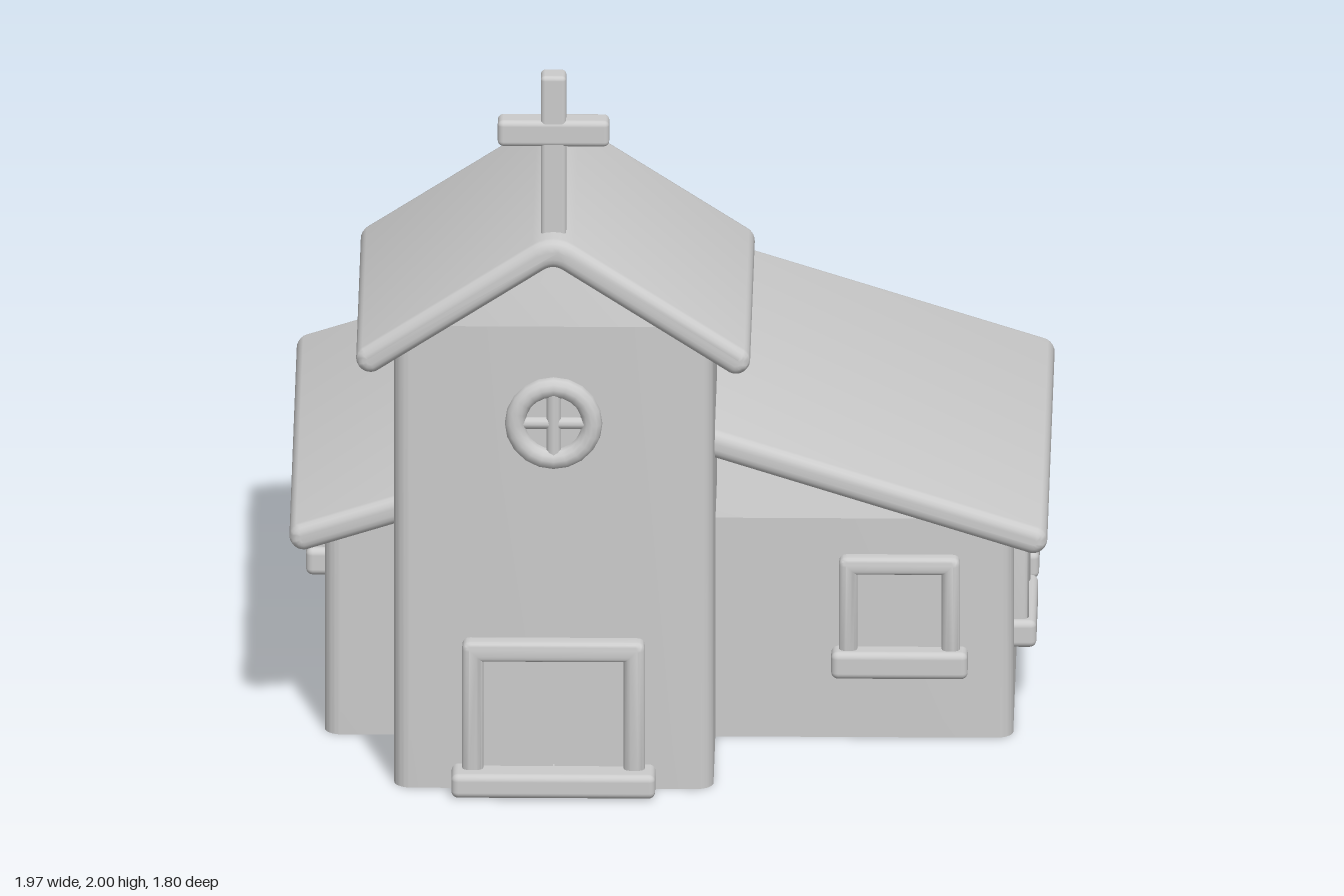
import * as THREE from 'three';
import { toCreasedNormals } from 'three/addons/utils/BufferGeometryUtils.js';
import { RoundedBoxGeometry } from 'three/addons/geometries/RoundedBoxGeometry.js';

const material = new THREE.MeshStandardMaterial({ color: 0xcccccc });

function add(parent, name, geometry, x = 0, y = 0, z = 0) {
  const mesh = new THREE.Mesh(geometry, material);
  mesh.name = name;
  mesh.position.set(x, y, z);
  parent.add(mesh);
  return mesh;
}

const roundBox = (w, h, d, r) => new RoundedBoxGeometry(w, h, d, 3, r);

// Walls: rounded rectangle in plan, raised to a gable with its ridge along z
function wallGeometry(halfW, halfD, ridgeY, slope) {
  const r = 0.045, a = halfW - r, b = halfD - r, q = Math.PI / 2;
  const plan = new THREE.Shape();
  plan.moveTo(0, -halfD);
  plan.absarc(a, -b, r, -q, 0);
  plan.absarc(a, b, r, 0, q);
  plan.lineTo(0, halfD);
  plan.absarc(-a, b, r, q, 2 * q);
  plan.absarc(-a, -b, r, 2 * q, 3 * q);
  plan.closePath();
  const geo = new THREE.ExtrudeGeometry(plan, { depth: 1, bevelEnabled: false, curveSegments: 6 });
  geo.rotateX(-Math.PI / 2);
  const p = geo.attributes.position;
  for (let i = 0; i < p.count; i++) {
    if (p.getY(i) > 0.5) p.setY(i, ridgeY - slope * Math.abs(p.getX(i)));
  }
  return toCreasedNormals(geo, 0.6);
}

// Roof: bent slab with full round edges; (a, 0) is the eave, (0, rise) the ridge
function roofGeometry(a, rise, length) {
  const t = 0.009, bevel = 0.028, k = 0.04;
  const angle = Math.atan2(a, rise);
  const up = t / Math.sin(angle), near = rise * (1 - k / a);
  const s = new THREE.Shape();
  s.absarc(a, 0, t, angle - Math.PI, angle);
  s.lineTo(k, near + up);
  s.quadraticCurveTo(0, rise + up, -k, near + up);
  s.absarc(-a, 0, t, Math.PI - angle, 2 * Math.PI - angle);
  s.lineTo(-k, near - up);
  s.quadraticCurveTo(0, rise - up, k, near - up);
  s.closePath();
  const geo = new THREE.ExtrudeGeometry(s, {
    depth: length - 2 * bevel, bevelThickness: bevel, bevelSize: bevel,
    bevelSegments: 4, curveSegments: 6,
  });
  geo.translate(0, 0, bevel - length / 2);
  return toCreasedNormals(geo, 0.9);
}

// Upside-down U frame, standing on y = 0, reaching out from the wall at z = 0
function frameGeometry(w, h, bar, out) {
  const x = w / 2, i = x - bar, b = 0.018, c = 0.022;
  const s = new THREE.Shape();
  s.moveTo(x, 0);
  s.lineTo(x, h - c);
  s.quadraticCurveTo(x, h, x - c, h);
  s.lineTo(c - x, h);
  s.quadraticCurveTo(-x, h, -x, h - c);
  s.lineTo(-x, 0);
  s.lineTo(-i, 0);
  s.lineTo(-i, h - bar);
  s.lineTo(i, h - bar);
  s.lineTo(i, 0);
  s.closePath();
  const geo = new THREE.ExtrudeGeometry(s, {
    depth: out, bevelThickness: b, bevelSize: b, bevelOffset: -b,
    bevelSegments: 4, curveSegments: 4,
  });
  geo.translate(0, 0, -b);
  return toCreasedNormals(geo, 0.9);
}

// Window with its wall plane at z = 0 and its sill centred on x = 0
function makeWindow(name, x, z, turn) {
  const win = new THREE.Group();
  win.name = name;
  add(win, 'windowFrame', frameGeometry(0.315, 0.28, 0.048, 0.038), 0, 0.23, 0);
  add(win, 'windowSill', roundBox(0.355, 0.075, 0.09, 0.018), 0, 0.217, 0.013);
  add(win, 'windowPane', new THREE.BoxGeometry(0.24, 0.24, 0.02), 0, 0.36, -0.005);
  win.position.set(x, 0, z);
  win.rotation.y = turn;
  return win;
}

export function createModel() {
  const model = new THREE.Group();
  model.name = 'chapel';

  // Nave
  add(model, 'naveWalls', wallGeometry(0.895, 0.605, 0.88, 0.318), -0.003, 0, -0.205);
  add(model, 'naveRoof', roofGeometry(0.948, 0.303, 1.405), -0.003, 0.586, -0.193);

  // Tower
  const tx = -0.297;
  add(model, 'towerWalls', wallGeometry(0.415, 0.355, 1.52, 0.63), tx, 0, 0.425);
  add(model, 'towerRoof', roofGeometry(0.475, 0.31, 0.915), tx, 1.233, 0.442);

  // Cross on the ridge
  const cross = new THREE.Group();
  cross.name = 'cross';
  add(cross, 'crossPost', roundBox(0.066, 0.47, 0.066, 0.012), 0, 1.765, 0);
  add(cross, 'crossArm', roundBox(0.29, 0.072, 0.07, 0.015), 0, 1.84, 0);
  cross.position.set(tx, 0, 0.793);
  model.add(cross);

  // Round window
  const rose = new THREE.Group();
  rose.name = 'roundWindow';
  add(rose, 'roundFrame', new THREE.TorusGeometry(0.1, 0.027, 12, 20));
  add(rose, 'verticalBar', new THREE.CylinderGeometry(0.02, 0.02, 0.17, 10));
  add(rose, 'horizontalBar', new THREE.CylinderGeometry(0.016, 0.016, 0.17, 10)).rotation.z = Math.PI / 2;
  rose.position.set(tx, 1.02, 0.783);
  model.add(rose);

  // Entrance
  const door = new THREE.Group();
  door.name = 'entrance';
  add(door, 'doorFrame', frameGeometry(0.475, 0.38, 0.055, 0.047), 0, 0.04, 0);
  add(door, 'doorStep', roundBox(0.53, 0.066, 0.12, 0.018), 0, 0.035, 0.03);
  for (const side of [-1, 1]) {
    add(door, 'doorLeaf', new THREE.BoxGeometry(0.189, 0.33, 0.03), side * 0.0965, 0.215, 0);
  }
  door.position.set(tx, 0, 0.78);
  model.add(door);

  // Windows: one in front, two on the left wall, one on the right wall
  model.add(makeWindow('frontWindow', 0.597, 0.4, 0));
  for (const z of [0.045, -0.45]) {
    model.add(makeWindow('leftWindow', 0.892, z, Math.PI / 2));
  }
  model.add(makeWindow('rightWindow', -0.898, -0.45, -Math.PI / 2));

  return model;
}
